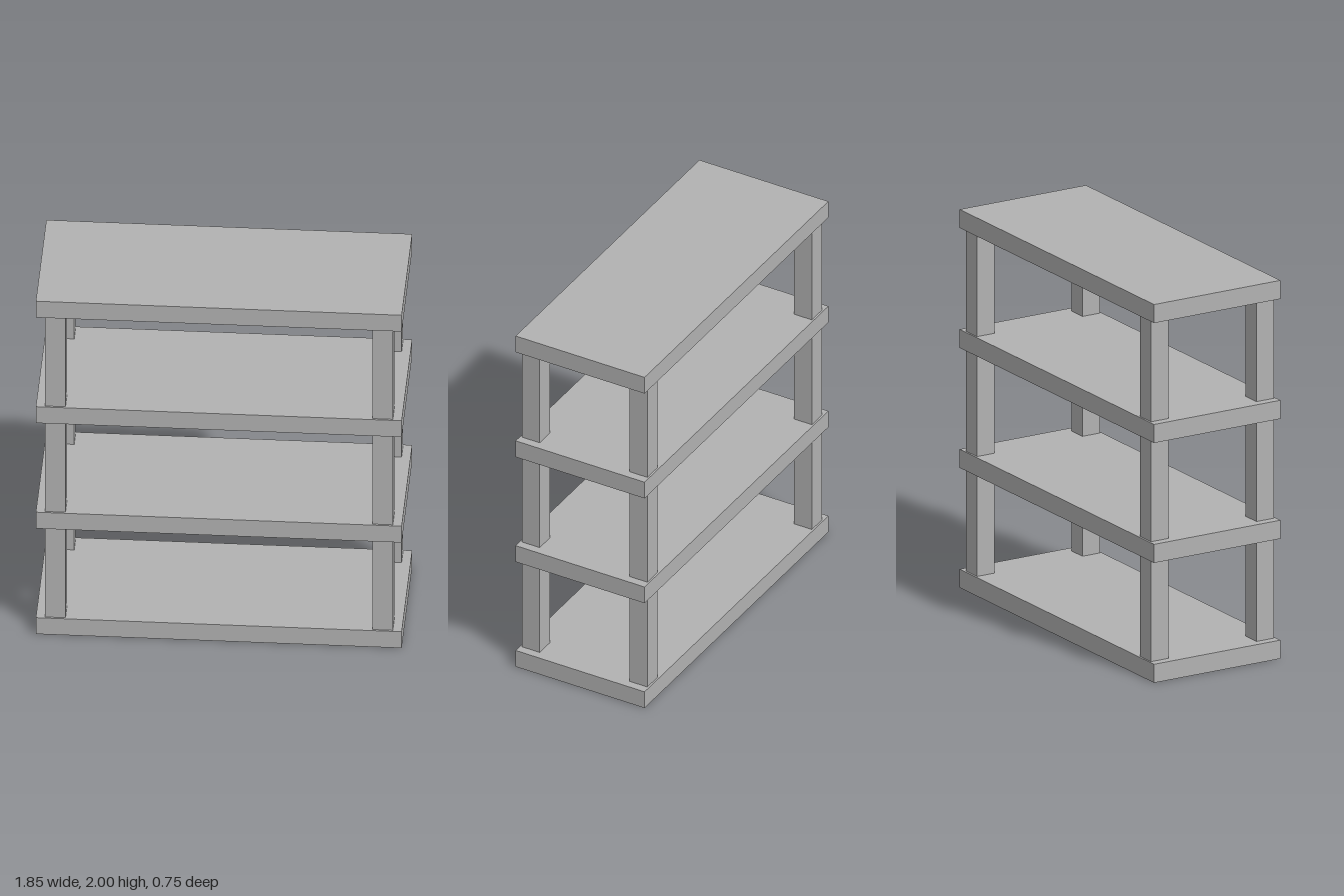
import * as THREE from 'three';

export function createModel() {
  const model = new THREE.Group();
  model.name = 'shelvingUnit';

  const grey = new THREE.MeshStandardMaterial({ color: 0xb2b2b2 });
  grey.name = 'grey';

  const thickness = 0.098;
  const pitch = (2 - thickness) / 3;
  const gap = pitch - thickness;
  const boardGeometry = new THREE.BoxGeometry(1.846, thickness, 0.75);
  const postGeometry = new THREE.BoxGeometry(0.104, gap, 0.104);

  const addPart = (name, geometry, x, y, z) => {
    const mesh = new THREE.Mesh(geometry, grey);
    mesh.name = name;
    mesh.position.set(x, y, z);
    model.add(mesh);
  };

  for (let level = 0; level < 4; level++) {
    // Horizontal board
    const base = level * pitch;
    addPart(`shelf${level + 1}`, boardGeometry, 0, base + thickness / 2, 0);
    if (level === 3) break;

    // Four square posts carrying the next board
    for (const [side, x] of [['Left', 0.826], ['Right', -0.826]]) {
      for (const [end, z] of [['front', 0.313], ['back', -0.313]]) {
        addPart(`${end}${side}Post${level + 1}`, postGeometry, x, base + thickness + gap / 2, z);
      }
    }
  }

  return model;
}
